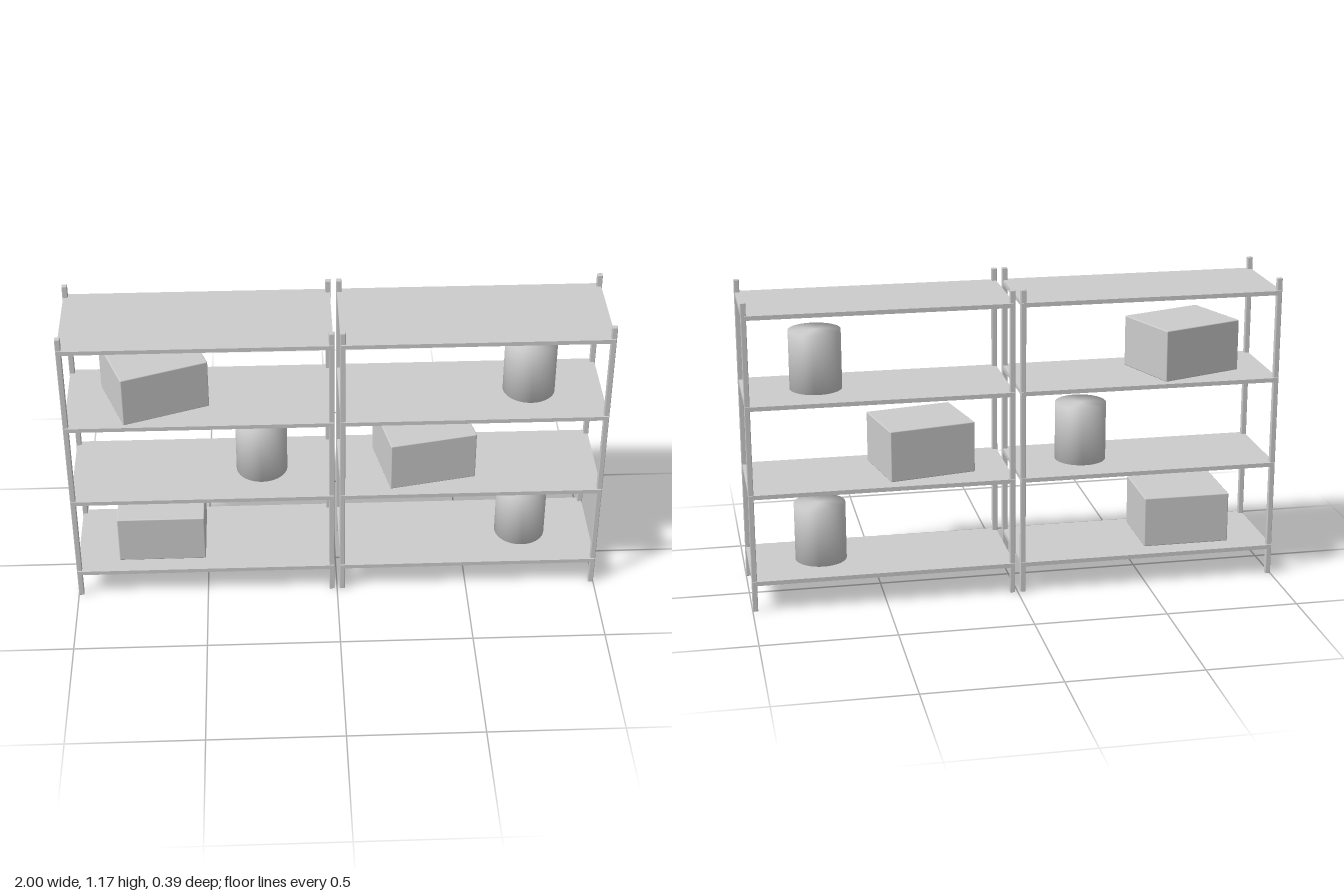
import * as THREE from 'three';
import { RoundedBoxGeometry } from 'three/addons/geometries/RoundedBoxGeometry.js';

const grey = new THREE.MeshStandardMaterial({ color: 0xcccccc });
grey.name = 'light grey';

function add(parent, name, geometry, x, y, z, turn = 0) {
  const mesh = new THREE.Mesh(geometry, grey);
  mesh.name = name;
  mesh.position.set(x, y, z);
  mesh.rotation.y = turn;
  parent.add(mesh);
}

export function createModel() {
  const group = new THREE.Group();
  group.name = 'shelvingUnits';

  const postGeo = new RoundedBoxGeometry(0.02, 1.175, 0.02, 1, 0.003);
  const shelfGeo = new THREE.BoxGeometry(0.984, 0.016, 0.39);
  const boxGeo = new RoundedBoxGeometry(0.332, 0.195, 0.277, 2, 0.004);
  // Closed drum whose shading flows softly over the rims
  const r = 0.097, h = 0.223;
  const drumGeo = new THREE.LatheGeometry(
    [[0, 0], [r, 0], [r, h], [0, h]].map(([x, y]) => new THREE.Vector2(x, y)), 48);

  // Two mirrored racks, each with four posts and four shelves
  for (const side of [-1, 1]) {
    const rack = new THREE.Group();
    rack.name = side < 0 ? 'rightRack' : 'leftRack';
    rack.position.x = side * 0.505;
    for (const sx of [-1, 1])
      for (const sz of [-1, 1])
        add(rack, 'post', postGeo, sx * 0.485, 0.5875, sz * 0.18);
    for (let i = 0; i < 4; i++) add(rack, 'shelf', shelfGeo, 0, 0.112 + i * 0.336, 0);
    group.add(rack);
  }

  // Storage boxes, two of them turned on their shelves
  add(group, 'storageBox', boxGeo, -0.671, 0.225, 0.001);
  add(group, 'storageBox', boxGeo, 0.337, 0.562, 0.001, 0.2);
  add(group, 'storageBox', boxGeo, -0.671, 0.895, 0.001, 0.35);

  // Drums
  add(group, 'drum', drumGeo, 0.724, 0.123, 0.001);
  add(group, 'drum', drumGeo, -0.28, 0.459, 0.001);
  add(group, 'drum', drumGeo, 0.724, 0.795, 0.001);

  return group;
}
